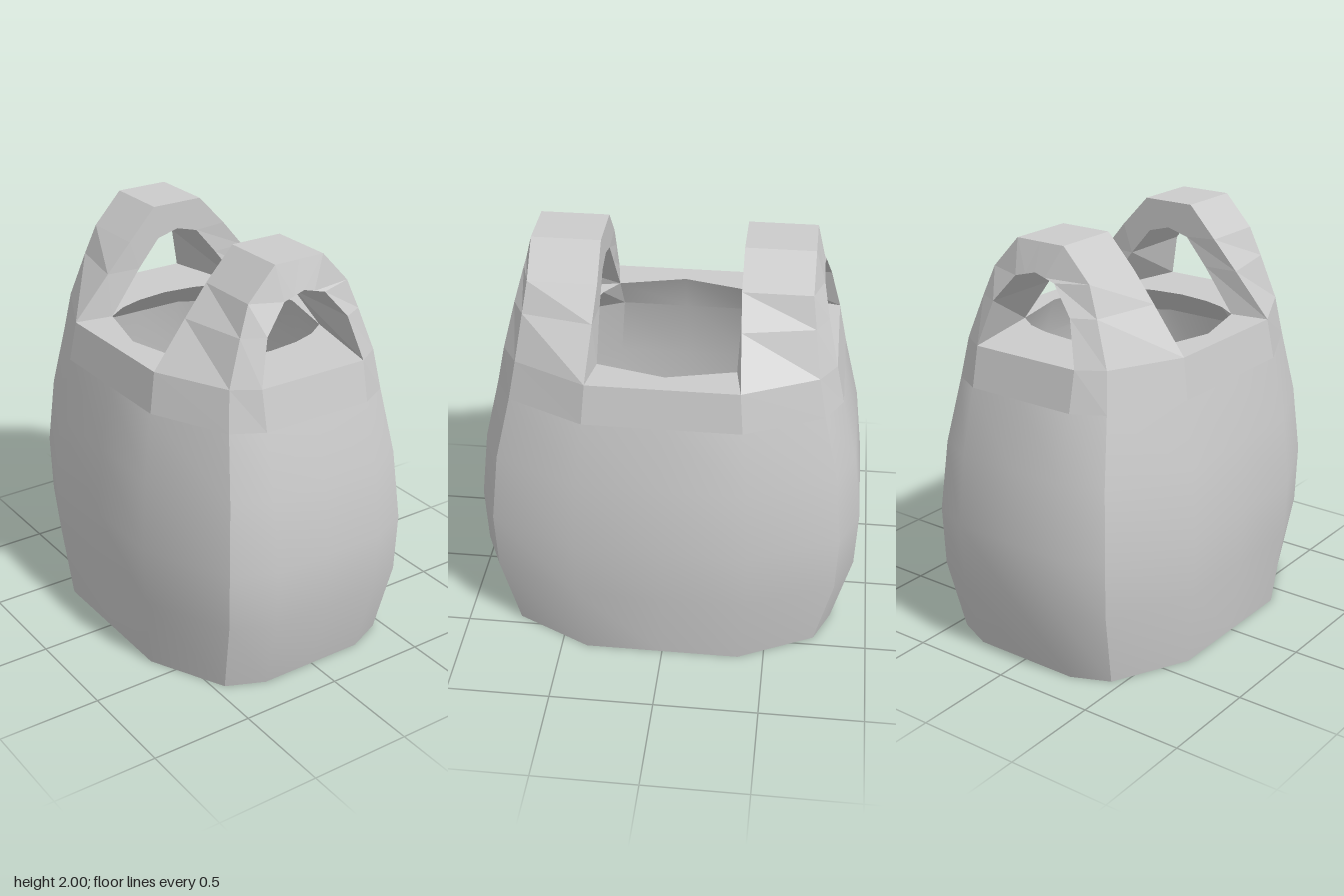
import * as THREE from 'three';
import { toCreasedNormals } from 'three/addons/utils/BufferGeometryUtils.js';

// Skin a series of closed rings with quads
function loft(rings, crease) {
  const n = rings[0].length, index = [];
  for (let i = 0; i < rings.length - 1; i++) {
    for (let j = 0; j < n; j++) {
      const k = (j + 1) % n;
      const a = i * n + j, b = i * n + k, c = (i + 1) * n + k, d = (i + 1) * n + j;
      index.push(a, d, c, a, c, b);
    }
  }
  const geo = new THREE.BufferGeometry();
  geo.setAttribute('position', new THREE.Float32BufferAttribute(rings.flat(2), 3));
  geo.setIndex(index);
  return toCreasedNormals(geo, crease);
}

// Mirror a quarter outline of [x, z] points, from the side to the front, into a full ring
function ring(y, [A, B, C, D, E]) {
  const p = (q, sx, sz) => [q[0] * sx, y, q[1] * sz];
  return [
    p(A, 1, 1), p(B, 1, 1), p(C, 1, 1), p(D, 1, 1), p(E, 1, 1),
    p(D, -1, 1), p(C, -1, 1), p(B, -1, 1), p(A, -1, 1),
    p(B, -1, -1), p(C, -1, -1), p(D, -1, -1), p(E, 1, -1),
    p(D, 1, -1), p(C, 1, -1), p(B, 1, -1),
  ];
}

// Body cross-section: side x, side-edge z, corner x, corner z, front-edge x, front z
const section = ([sx, bz, cx, cz, dx, fz]) =>
  [[sx, 0], [sx, bz], [cx, cz], [dx, fz], [0, fz]];
const scaled = (pts, s) => pts.map(([x, z]) => [x * s, z * s]);

export function createModel() {
  const group = new THREE.Group();
  const smooth = new THREE.MeshStandardMaterial({ color: 0xcccccc });
  const flat = new THREE.MeshStandardMaterial({ color: 0xcccccc, flatShading: true });
  const add = (name, geo, mat) => {
    const mesh = new THREE.Mesh(geo, mat);
    mesh.name = name;
    group.add(mesh);
    return mesh;
  };

  const levels = [
    [0, [0.63, 0.375, 0.45, 0.74, 0.27, 0.82]],
    [0.37, [0.67, 0.405, 0.485, 0.825, 0.285, 0.915]],
    [0.66, [0.68, 0.41, 0.49, 0.835, 0.29, 0.925]],
    [1.0, [0.65, 0.395, 0.465, 0.80, 0.285, 0.885]],
    [1.31, [0.597, 0.365, 0.425, 0.73, 0.28, 0.81]],
    [1.5, [0.565, 0.35, 0.40, 0.695, 0.28, 0.77]],
  ].map(([y, s]) => [y, section(s)]);
  const base = levels[0][1];

  // Bulging outer wall
  add('body', loft(levels.slice(0, 5).map(([y, s]) => ring(y, s)), 0.55), smooth);

  // Underside with a shallow recess
  add('underside', loft([
    ring(0.02, scaled(base, 0)), ring(0.02, scaled(base, 0.88)),
    ring(0, scaled(base, 0.89)), ring(0, base),
  ], 0.55), smooth);

  // Faceted band and the flat rim around the opening
  const opening = [[0.46, 0], [0.38, 0.32], [0.28, 0.39], [0.16, 0.43], [0, 0.45]];
  add('rim', loft([
    ring(levels[4][0], levels[4][1]), ring(1.5, levels[5][1]), ring(1.5, opening),
  ], 0.1), flat);

  // Hollow inside, from the opening down to the floor
  add('cavity', loft([
    ring(1.5, opening),
    ...levels.slice(1, 5).reverse().map(([y, s]) => ring(y, scaled(s, 0.88))),
    ring(0.08, scaled(base, 0.88)), ring(0.08, scaled(base, 0)),
  ], 0.55), smooth);

  // Arched handle: each station is inner back, outer back, outer front, inner front
  const half = [
    [[0.38, 1.5, 0.32], [0.565, 1.5, 0.35], [0.40, 1.5, 0.695], [0.28, 1.5, 0.77]],
    [[0.22, 1.71, 0.325], [0.39, 1.71, 0.335], [0.325, 1.71, 0.665], [0.22, 1.71, 0.72]],
    [[0.11, 1.84, 0.325], [0.27, 1.85, 0.325], [0.27, 1.85, 0.645], [0.11, 1.84, 0.69]],
    [[0.055, 1.855, 0.325], [0.13, 2, 0.325], [0.13, 2, 0.645], [0.055, 1.855, 0.688]],
  ];
  const mirrored = half.map(s => s.map(([x, y, z]) => [-x, y, z])).reverse();
  const handle = loft([
    ...half,
    [[0, 1.87, 0.325], [0, 2, 0.325], [0, 2, 0.645], [0, 1.87, 0.685]],
    ...mirrored,
  ], 0.1);
  add('frontHandle', handle, flat);
  add('backHandle', handle, flat).rotation.y = Math.PI;

  return group;
}
